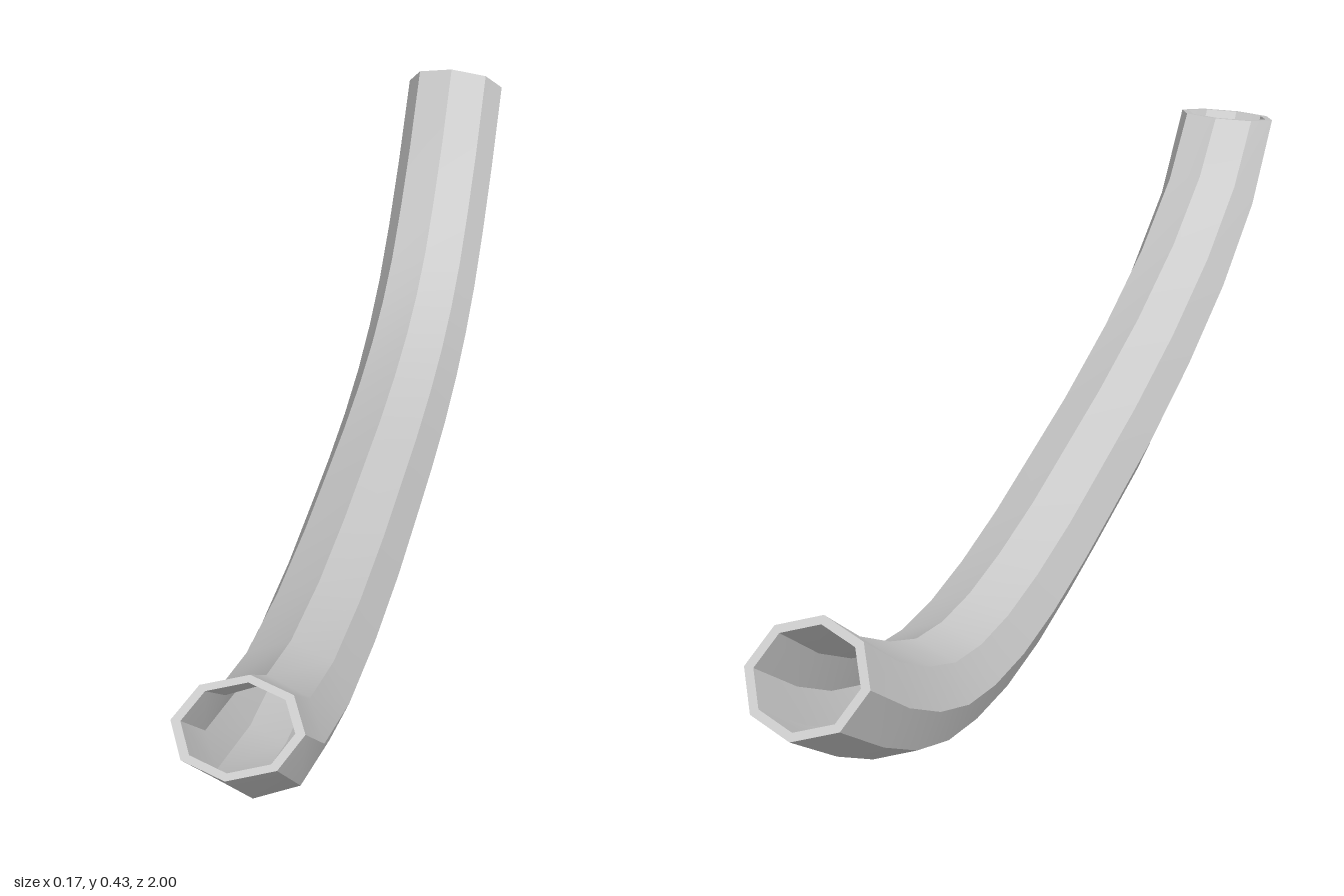
import * as THREE from 'three';
import { toCreasedNormals } from 'three/addons/utils/BufferGeometryUtils.js';

// Stations from front to back: lower edge z, y and upper edge z, y
const stations = [
  [1.0, 0.393, 0.848, 0.434], [0.855, 0.24, 0.755, 0.36], [0.65, 0.145, 0.6, 0.295],
  [0.44, 0.086, 0.4, 0.244], [0.22, 0.043, 0.195, 0.21], [0, 0.02, 0, 0.188],
  [-0.13, 0.009, -0.125, 0.174], [-0.27, 0.002, -0.27, 0.167], [-0.405, 0.009, -0.395, 0.17],
  [-0.53, 0.032, -0.5, 0.185], [-0.64, 0.066, -0.595, 0.214], [-0.755, 0.123, -0.685, 0.263],
  [-0.866, 0.2, -0.78, 0.327], [-1.0, 0.308, -0.885, 0.42],
];
const SIDES = 8, RADIUS = 0.083, INNER = 0.85;

// Octagonal cross-section spanning one station
function ring([z0, y0, z1, y1], scale) {
  return Array.from({ length: SIDES }, (_, j) => {
    const a = (j / SIDES) * Math.PI * 2;
    const s = Math.sin(a) * scale * 0.5;
    return [
      Math.cos(a) * RADIUS * scale,
      (y0 + y1) / 2 + (y1 - y0) * s,
      (z0 + z1) / 2 + (z1 - z0) * s,
    ];
  });
}

export function createModel() {
  // Outer wall front to back, then the bore back to front, closed by thin end rims
  const outer = stations.map((s) => ring(s, 1));
  const inner = stations.map((s) => ring(s, INNER)).reverse();
  const rings = [...outer, ...inner];
  const index = [];
  for (let i = 0; i < rings.length; i++) {
    const k = (i + 1) % rings.length;
    for (let j = 0; j < SIDES; j++) {
      const m = (j + 1) % SIDES;
      const a = i * SIDES + j, b = k * SIDES + j, c = k * SIDES + m, d = i * SIDES + m;
      index.push(a, b, d, b, c, d);
    }
  }
  const geometry = new THREE.BufferGeometry();
  geometry.setAttribute('position', new THREE.Float32BufferAttribute(rings.flat(2), 3));
  geometry.setIndex(index);

  const tube = new THREE.Mesh(
    toCreasedNormals(geometry, 0.6),
    new THREE.MeshStandardMaterial({ color: 0xcccccc }),
  );
  tube.name = 'curvedTube';

  const group = new THREE.Group();
  group.name = 'bentPipe';
  group.add(tube);
  return group;
}
